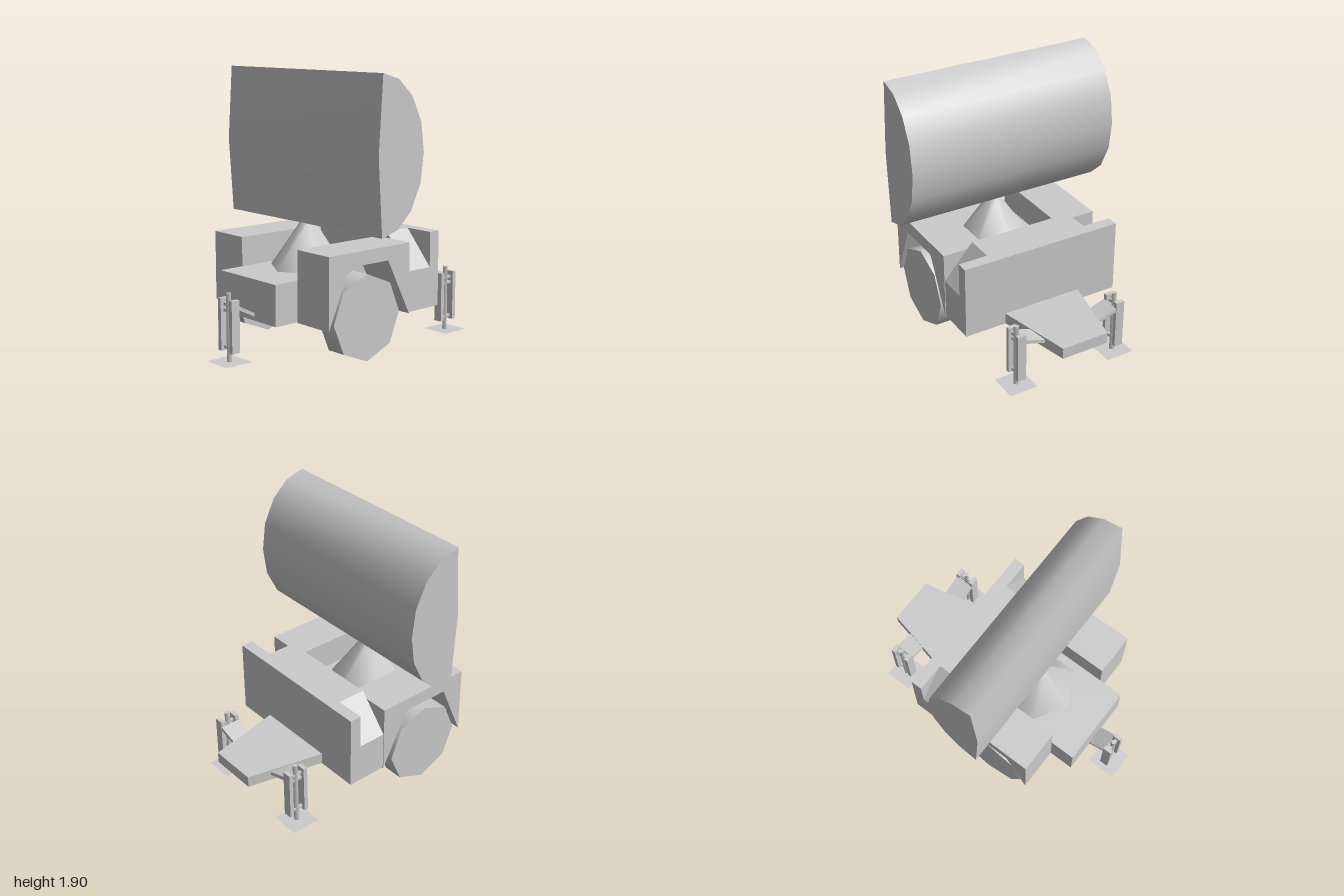
import * as THREE from 'three';
import { toCreasedNormals } from 'three/addons/utils/BufferGeometryUtils.js';

const material = new THREE.MeshStandardMaterial({ color: 0xcccccc });
const thinMaterial = new THREE.MeshStandardMaterial({ color: 0xcccccc, side: THREE.DoubleSide });

function add(parent, name, geometry, mat = material) {
  const mesh = new THREE.Mesh(geometry, mat);
  mesh.name = name;
  parent.add(mesh);
  return mesh;
}

// Box given by its low and high limits on each axis
function block(x0, x1, y0, y1, z0, z1) {
  return new THREE.BoxGeometry(x1 - x0, y1 - y0, z1 - z0)
    .translate((x0 + x1) / 2, (y0 + y1) / 2, (z0 + z1) / 2);
}

// Outline extruded along z from z0 to z1
function prism(points, z0, z1) {
  const shape = new THREE.Shape(points.map(([x, y]) => new THREE.Vector2(x, y)));
  return new THREE.ExtrudeGeometry(shape, { depth: z1 - z0, bevelEnabled: false }).translate(0, 0, z0);
}

// Support jack whose arm points along local +x, sloping down to endX, endY
function createJack(name, x, z, turn, endX, endY) {
  const jack = new THREE.Group();
  jack.name = name;
  add(jack, 'jackPad', new THREE.PlaneGeometry(0.21, 0.21).rotateX(-Math.PI / 2).translate(0, 0.005, 0), thinMaterial);
  add(jack, 'jackPost', new THREE.CylinderGeometry(0.021, 0.021, 0.465, 4).translate(0, 0.2375, 0));
  for (const side of [-1, 1]) {
    add(jack, 'jackRail', block(-0.032, 0.032, 0.075, 0.43, -0.015, 0.015)).position.z = side * 0.06;
  }
  for (const y of [0.1, 0.35, 0.39]) {
    add(jack, 'jackCrossbar', block(-0.01, 0.01, y - 0.01, y + 0.01, -0.05, 0.05));
  }
  add(jack, 'jackArm', prism([[0.03, 0.36], [endX, endY - 0.025], [endX, endY], [0.03, 0.388]], -0.072, 0.072));
  jack.position.set(x, 0, z);
  jack.rotation.y = turn;
  return jack;
}

export function createModel() {
  const model = new THREE.Group();
  model.name = 'antennaTrailer';

  // Central deck and tapered hitch plate
  add(model, 'deck', block(-0.74, 0.18, 0.27, 0.55, -0.295, 0.295));
  add(model, 'hitchPlate', prism([[0.46, -0.295], [1, -0.175], [1, 0.175], [0.46, 0.295]], 0.275, 0.355)
    .rotateX(-Math.PI / 2));

  // Equipment cabinet: full-width front and a rear section with sloped top corners
  add(model, 'cabinetFront', block(0.375, 0.46, 0.272, 0.8, -0.6, 0.6));
  add(model, 'cabinetRear', prism([
    [-0.6, 0.272], [0.6, 0.272], [0.6, 0.555], [0.385, 0.8], [-0.385, 0.8], [-0.6, 0.555],
  ], 0, 0.205).rotateY(Math.PI / 2).translate(0.17, 0, 0));

  // Fenders with cut wheel arches, inner walls and octagonal wheels
  const arch = [[-0.555, 0.265], [-0.385, 0.66], [-0.03, 0.66], [0.17, 0.265], [0.17, 0.755], [-0.555, 0.755]];
  for (const side of [-1, 1]) {
    const near = side > 0 ? 0.295 : -0.605;
    add(model, 'fender', prism(arch, near, near + 0.31));
    add(model, 'fenderInnerWall', block(-0.55, 0.165, 0.275, 0.75, -0.01, 0.01)).position.z = side * 0.306;
    const wheel = add(model, 'wheel', new THREE.CylinderGeometry(0.295, 0.295, 0.145, 8).rotateX(Math.PI / 2));
    wheel.position.set(-0.21, 0.297, side * 0.522);
  }

  // Six-sided pedestal
  add(model, 'pedestal', new THREE.CylinderGeometry(0.048, 0.275, 0.325, 6)
    .rotateY(Math.PI / 2).translate(-0.21, 0.71, 0));

  // Antenna housing with a bowed front and nearly flat back
  const profile = [
    [-0.26, 0.86], [-0.12, 0.9], [0, 1.01], [0.085, 1.185], [0.112, 1.385],
    [0.085, 1.585], [0, 1.755], [-0.12, 1.865], [-0.26, 1.905], [-0.295, 1.385],
  ];
  add(model, 'antennaHousing', toCreasedNormals(prism(profile, -0.78, 0.78), 0.7));

  // Three support jacks
  model.add(createJack('rearJack', -0.895, 0, 0, 0.16, 0.32));
  model.add(createJack('leftJack', 0.765, 0.39, Math.PI / 2, 0.18, 0.34));
  model.add(createJack('rightJack', 0.765, -0.39, -Math.PI / 2, 0.18, 0.34));

  return model;
}
